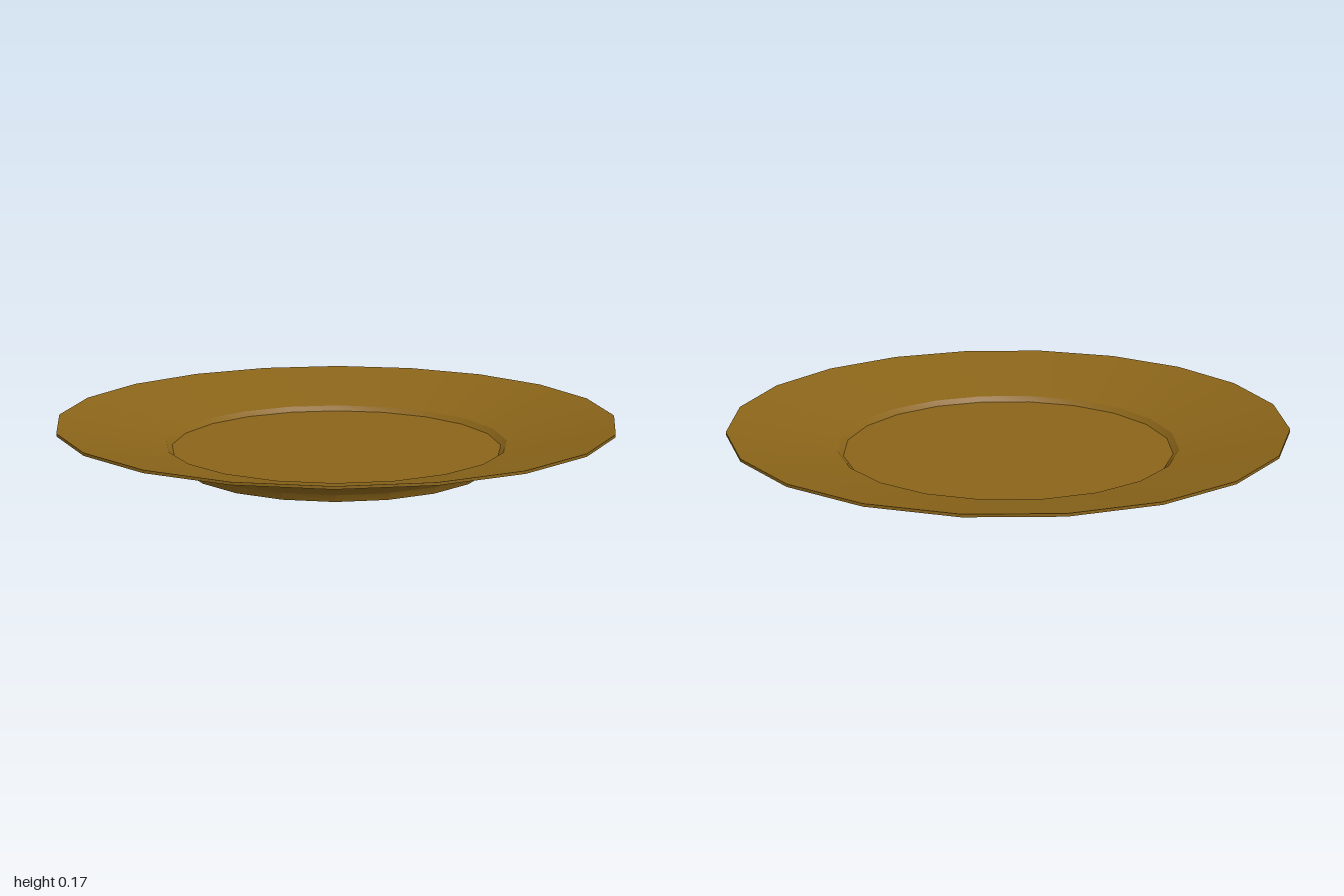
import * as THREE from 'three';
import { toCreasedNormals } from 'three/addons/utils/BufferGeometryUtils.js';

export function createModel() {
  const group = new THREE.Group();
  group.name = 'plate';
  const material = new THREE.MeshStandardMaterial({ color: 0x8a6419 });

  // Closed profile: underside, foot, sloping rim, lip, then back in to the well
  const profile = [
    [0, 0],
    [0.56, 0],
    [0.57, 0.025],
    [0.58, 0.035],
    [0.62, 0.065],
    [1, 0.16],
    [1, 0.17],
    [0.615, 0.078],
    [0.595, 0.06],
    [0, 0.06],
  ].map(([r, y]) => new THREE.Vector2(r, y));

  // Twenty-sided dish, smooth around with sharp foot and lip edges
  const dish = new THREE.Mesh(
    toCreasedNormals(new THREE.LatheGeometry(profile, 20), 0.45),
    material
  );
  dish.name = 'dish';
  group.add(dish);
  return group;
}
